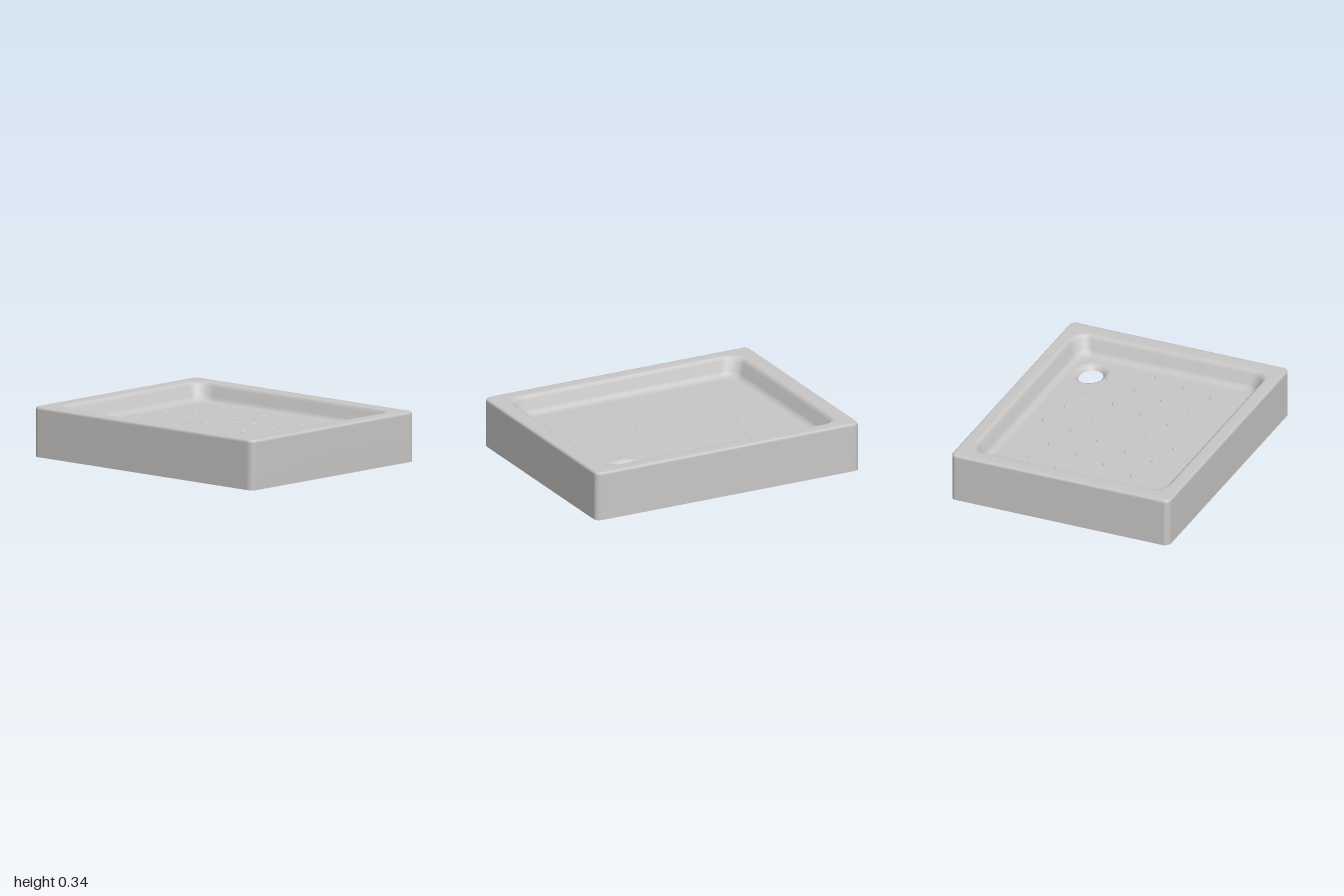
import * as THREE from 'three';

const FLOOR = 0.215;
const ARC = 10; // segments per rounded corner

// Rounded square ring, half size h and corner radius r
function ring(h, r) {
  const pts = [];
  for (let c = 0; c < 4; c++) {
    const mid = Math.PI / 4 + c * Math.PI / 2;
    const cx = Math.sign(Math.cos(mid)) * (h - r);
    const cz = Math.sign(Math.sin(mid)) * (h - r);
    for (let i = 0; i <= ARC; i++) {
      const a = (c + i / ARC) * Math.PI / 2;
      pts.push(new THREE.Vector2(cx + r * Math.cos(a), cz + r * Math.sin(a)));
    }
  }
  return pts;
}

// Skin through a list of [half size, height, corner radius] rings
function loft(profile) {
  const pos = [], idx = [], n = 4 * (ARC + 1);
  for (const [h, y, r] of profile) for (const p of ring(h, r)) pos.push(p.x, y, p.y);
  for (let j = 0; j < profile.length - 1; j++) {
    for (let i = 0; i < n; i++) {
      const a = j * n + i, b = j * n + (i + 1) % n;
      idx.push(a, a + n, b, b, a + n, b + n);
    }
  }
  const g = new THREE.BufferGeometry();
  g.setAttribute('position', new THREE.Float32BufferAttribute(pos, 3));
  g.setIndex(idx);
  g.computeVertexNormals();
  return g;
}

export function createModel() {
  const ceramic = new THREE.MeshStandardMaterial({ color: 0xc9c7c5, side: THREE.DoubleSide });
  ceramic.name = 'warm grey';
  const model = new THREE.Group();
  model.name = 'showerTray';
  const tray = new THREE.Group();
  tray.name = 'tray';
  tray.scale.z = 0.8; // square plan narrowed front to back
  model.add(tray);

  const add = (name, geometry, parent = tray) => {
    const m = new THREE.Mesh(geometry, ceramic);
    m.name = name;
    parent.add(m);
    return m;
  };

  // Outer walls, rim and basin sides as one thin shell
  add('shell', loft([
    [1, 0, 0.05], [1, 0.32, 0.05], [0.998, 0.33, 0.048], [0.991, 0.338, 0.043], [0.98, 0.34, 0.035],
    [0.9, 0.34, 0.13], [0.886, 0.337, 0.128], [0.873, 0.328, 0.125], [0.863, 0.312, 0.122],
    [0.835, 0.252, 0.115], [0.826, 0.236, 0.112], [0.81, 0.223, 0.11], [0.79, 0.217, 0.108],
    [0.765, FLOOR, 0.105],
  ]));

  // Basin floor with an opening for the drain
  const floor = new THREE.Shape(ring(0.765, 0.105));
  const opening = new THREE.Path();
  opening.absarc(0.6, 0.6, 0.15, 0, Math.PI * 2, true);
  floor.holes.push(opening);
  const floorGeo = new THREE.ShapeGeometry(floor, 24);
  floorGeo.rotateX(-Math.PI / 2);
  add('floor', floorGeo).position.y = FLOOR;

  // Dished edge around the drain hole
  const dish = [[0.151, 0], [0.14, -0.002], [0.128, -0.007], [0.115, -0.016], [0.106, -0.025], [0.1, -0.034]];
  add('drainDish', new THREE.LatheGeometry(dish.map(p => new THREE.Vector2(...p)), 48))
    .position.set(0.6, FLOOR, -0.6);

  // Grip bumps on a tilted lattice, leaving the centre free
  const bumpGeo = new THREE.SphereGeometry(1, 16, 6, 0, Math.PI * 2, 0, Math.PI / 2);
  const bumps = new THREE.Group();
  bumps.name = 'gripBumps';
  tray.add(bumps);
  const rows = { '-2': [-1, 2], '-1': [-3, 3], 0: [-3, 3], 1: [-3, 3], 2: [-2, 1] };
  for (const [key, [from, to]] of Object.entries(rows)) {
    const j = Number(key);
    for (let i = from; i <= to; i++) {
      if (i === 0 && j === 0) continue;
      const b = add('gripBump', bumpGeo, bumps);
      b.position.set(0.225 * i - 0.057 * j, FLOOR, 0.07 * i + 0.281 * j);
      b.rotation.y = 0.95;
      b.scale.set(0.026, 0.007, 0.013);
    }
  }

  // Central support foot under the floor: [name, top radius, bottom radius, bottom, top]
  const foot = new THREE.Group();
  foot.name = 'supportFoot';
  tray.add(foot);
  for (const [name, rt, rb, y0, y1] of [
    ['footMount', 0.11, 0.11, 0.205, 0.213],
    ['footCollar', 0.068, 0.068, 0.192, 0.205],
    ['footStem', 0.035, 0.035, 0.115, 0.192],
    ['footNut', 0.044, 0.044, 0.1, 0.115],
    ['footScrew', 0.03, 0.03, 0.045, 0.1],
    ['footCone', 0.032, 0.06, 0.025, 0.045],
    ['footPad', 0.083, 0.083, 0, 0.025],
  ]) {
    add(name, new THREE.CylinderGeometry(rt, rb, y1 - y0, 32), foot).position.y = (y0 + y1) / 2;
  }

  return model;
}
